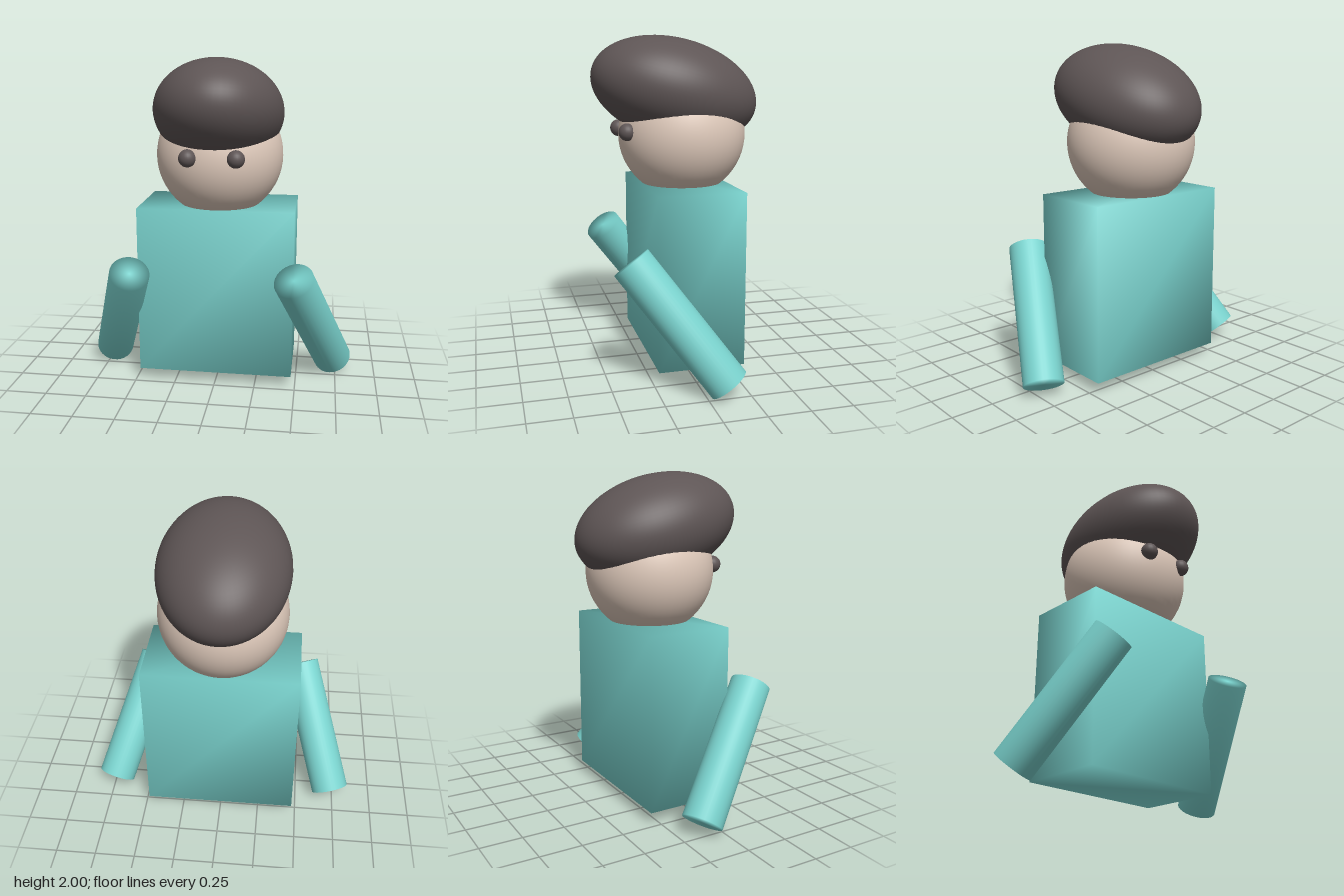
import * as THREE from 'three';
import { mergeVertices } from 'three/addons/utils/BufferGeometryUtils.js';

// Weld corners so shading runs smoothly across every edge
function welded(geometry) {
  geometry.deleteAttribute('normal');
  geometry.deleteAttribute('uv');
  const result = mergeVertices(geometry, 1e-4);
  result.computeVertexNormals();
  return result;
}

export function createModel() {
  const model = new THREE.Group();
  model.name = 'figure';

  const material = (name, color) => {
    const m = new THREE.MeshStandardMaterial({ color });
    m.name = name;
    return m;
  };
  const teal = material('tealCloth', 0x7ad3ce);
  const skin = material('skin', 0xdfcabb);
  const dark = material('darkHair', 0x5e5555);

  const add = (name, geometry, mat, x, y, z) => {
    const mesh = new THREE.Mesh(geometry, mat);
    mesh.name = name;
    mesh.position.set(x, y, z);
    model.add(mesh);
    return mesh;
  };

  // Torso block
  add('torso', welded(new THREE.BoxGeometry(0.95, 1.04, 0.52)), teal, 0, 0.59, -0.043);

  // Round head
  add('head', new THREE.SphereGeometry(0.388, 48, 32), skin, 0, 1.412, -0.042);

  // Egg-shaped hair, tipped up at the front
  const hair = add('hair', new THREE.SphereGeometry(1, 64, 40), dark, 0, 1.675, 0.002);
  hair.scale.set(0.392, 0.309, 0.518);
  hair.rotation.x = -0.247;

  for (const [side, s] of [['left', 1], ['right', -1]]) {
    // Eye set into the face
    add(side + 'Eye', new THREE.SphereGeometry(0.052, 24, 16), dark, s * 0.14, 1.44, 0.323);

    // Arm: a cylinder between its raised front end and its low rear end
    const top = new THREE.Vector3(s * 0.485, 0.75, 0.378);
    const bottom = new THREE.Vector3(s * 0.73, 0.076, -0.121);
    const axis = top.clone().sub(bottom);
    const mid = top.clone().add(bottom).multiplyScalar(0.5);
    const arm = add(side + 'Arm', welded(new THREE.CylinderGeometry(0.12, 0.12, axis.length(), 32)),
      teal, mid.x, mid.y, mid.z);
    arm.quaternion.setFromUnitVectors(new THREE.Vector3(0, 1, 0), axis.normalize());
  }

  return model;
}
